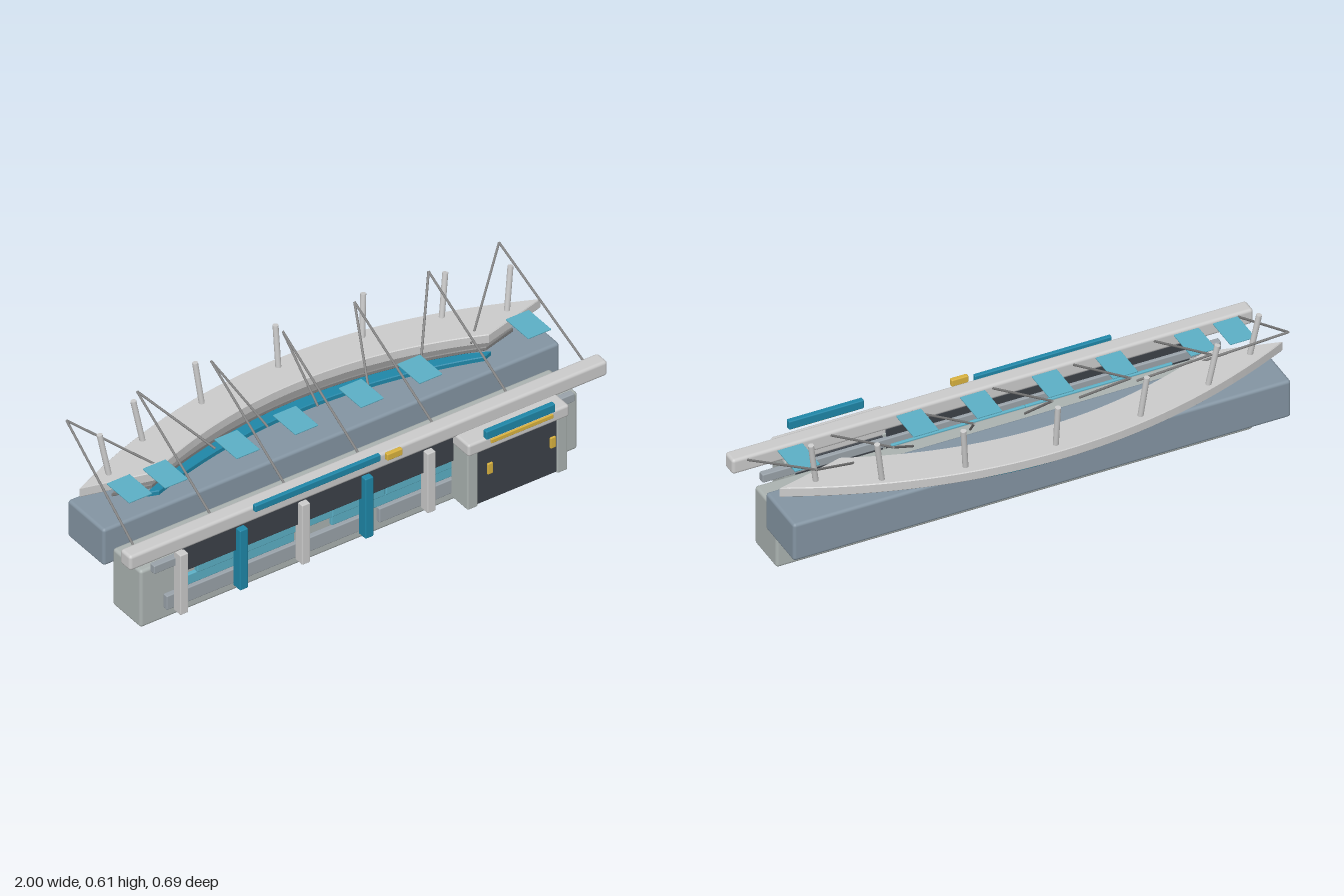
import * as THREE from 'three';
import { RoundedBoxGeometry } from 'three/addons/geometries/RoundedBoxGeometry.js';

const mat = (color) => new THREE.MeshStandardMaterial({ color });

export function createModel() {
  const model = new THREE.Group();
  const grey = mat(0xcccccc), wall = mat(0xabb3b1), slate = mat(0x8495a3);
  const teal = mat(0x1f87a8), glass = mat(0x5cb0c6), dark = mat(0x3c4148);
  const yellow = mat(0xd9b23f), steel = mat(0x808080), stone = mat(0x9aa3aa);

  const add = (name, geometry, material) => {
    const mesh = new THREE.Mesh(geometry, material);
    mesh.name = name;
    model.add(mesh);
    return mesh;
  };

  // Box given by its limits on each axis, with softened edges
  const box = (name, material, [x0, x1], [y0, y1], [z0, z1], bevel = 0.004) => {
    const w = x1 - x0, h = y1 - y0, d = z1 - z0;
    const r = Math.min(bevel, Math.min(w, h, d) * 0.3);
    const mesh = add(name, new RoundedBoxGeometry(w, h, d, 2, r), material);
    mesh.position.set((x0 + x1) / 2, (y0 + y1) / 2, (z0 + z1) / 2);
    return mesh;
  };

  // Round bar between two points
  const rod = (name, material, a, b, radius, sides = 12) => {
    const from = new THREE.Vector3(...a), to = new THREE.Vector3(...b);
    const dir = to.clone().sub(from);
    const mesh = add(name, new THREE.CylinderGeometry(radius, radius, dir.length(), sides), material);
    mesh.position.copy(from).add(to).multiplyScalar(0.5);
    mesh.quaternion.setFromUnitVectors(new THREE.Vector3(0, 1, 0), dir.normalize());
    return mesh;
  };

  // Flat crescent: outer and inner curves given as half width, middle z, end z
  const crescent = (name, material, outer, inner, y0, y1) => {
    const curve = ([half, zMid, zEnd]) => Array.from({ length: 33 }, (_, i) => {
      const t = i / 16 - 1;
      return new THREE.Vector2(t * half, zMid + (zEnd - zMid) * t * t);
    });
    const shape = new THREE.Shape([...curve(outer), ...curve(inner).reverse()]);
    const b = 0.003;
    const geometry = new THREE.ExtrudeGeometry(shape, {
      depth: y1 - y0 - 2 * b, bevelEnabled: true, bevelSize: b, bevelOffset: -b,
      bevelThickness: b, bevelSegments: 1,
    });
    geometry.rotateX(Math.PI / 2);
    geometry.translate(0, y1 - b, 0);
    return add(name, geometry, material);
  };

  // Main volumes
  box('lowerHall', wall, [-0.915, 0.915], [0, 0.242], [0.016, 0.187], 0.012);
  box('upperHall', slate, [-0.955, 0.955], [0.18, 0.335], [-0.198, 0.021], 0.012);
  box('frontBeam', grey, [-1, 1], [0.313, 0.375], [0.184, 0.246], 0.012);

  // Facade bands
  box('darkBand', dark, [-0.765, 0.4], [0.2, 0.303], [0.205, 0.225]);
  box('rail', stone, [-0.88, 0.88], [0.235, 0.27], [0.193, 0.219]);
  for (const [x0, x1] of [[-0.69, -0.125], [-0.125, 0.095], [0.1, 0.39]])
    box('upperWindow', glass, [x0, x1], [0.156, 0.245], [0.184, 0.207]);
  for (const [x0, x1] of [[-0.73, -0.28], [-0.125, 0.075], [0.03, 0.39]])
    box('lowerWindow', glass, [x0, x1], [0.115, 0.158], [0.18, 0.201]);
  for (const [x0, x1] of [[-0.82, 0.03], [0.07, 0.45]])
    box('plinth', stone, [x0, x1], [0.05, 0.11], [0.186, 0.209]);

  // Facade posts, alternating colours
  [-0.775, -0.525, -0.265, 0, 0.26].forEach((x, i) =>
    box('facadePost', i % 2 ? teal : grey, [x - 0.017, x + 0.017], [0.042, 0.296], [0.207, 0.25]));

  // Entrance
  box('entranceDoor', dark, [0.4, 0.755], [0.042, 0.275], [0.208, 0.303]);
  for (const x of [0.391, 0.766])
    box('entranceSide', wall, [x - 0.022, x + 0.022], [0.038, 0.285], [0.207, 0.309], 0.006);
  box('entranceRoof', grey, [0.365, 0.788], [0.272, 0.322], [0.21, 0.32], 0.01);
  box('entranceSign', teal, [0.43, 0.718], [0.329, 0.364], [0.315, 0.336]);
  box('entranceTrim', yellow, [0.445, 0.705], [0.313, 0.33], [0.335, 0.344]);
  for (const x of [0.441, 0.704])
    box('doorHandle', yellow, [x - 0.011, x + 0.011], [0.186, 0.231], [0.335, 0.344]);

  // Signs on the beam
  box('beamSign', teal, [-0.485, 0.04], [0.358, 0.386], [0.243, 0.26]);
  box('beamMarker', yellow, [0.058, 0.123], [0.358, 0.386], [0.256, 0.274]);

  // Curved stand and roof layers
  crescent('tealTier', teal, [0.72, -0.243, -0.055], [0.68, -0.155, -0.04], 0.32, 0.353);
  crescent('middleTier', steel, [0.84, -0.278, -0.095], [0.7, -0.19, -0.055], 0.361, 0.378);
  crescent('crescentRoof', grey, [0.965, -0.344, -0.11], [0.7, -0.19, -0.04], 0.402, 0.44);

  // Leaning masts: base x, base z, outward lean
  for (const [x, z, lean] of [[0, -0.3, 0], [0.335, -0.278, 0.017], [0.625, -0.217, 0.028], [0.832, -0.122, 0.028]])
    for (const s of x ? [-1, 1] : [1])
      rod('mast', grey, [s * x, 0.43, z], [s * (x + lean), 0.607, z - 0.018], 0.0105);

  // Cables: beam x, peak x, roof x
  for (const [beamX, peakX, roofX] of [[0, 0, 0], [0.31, 0.3, 0.21], [0.62, 0.61, 0.43], [0.942, 0.905, 0.64]])
    for (const s of peakX ? [-1, 1] : [1]) {
      const peak = [s * peakX, 0.606, -0.274];
      rod('frontCable', steel, [s * beamX, 0.355, 0.195], peak, 0.0045, 8);
      rod('backCable', steel, peak, [s * roofX, 0.415, -0.062], 0.0045, 8);
    }

  // Floating canopy panels
  for (const x of [-0.835, -0.685, -0.385, -0.14, 0.135, 0.38, 0.835])
    box('canopyPanel', glass, [x - 0.048, x + 0.048], [0.45, 0.456], [-0.063, 0.072], 0.002);

  return model;
}
